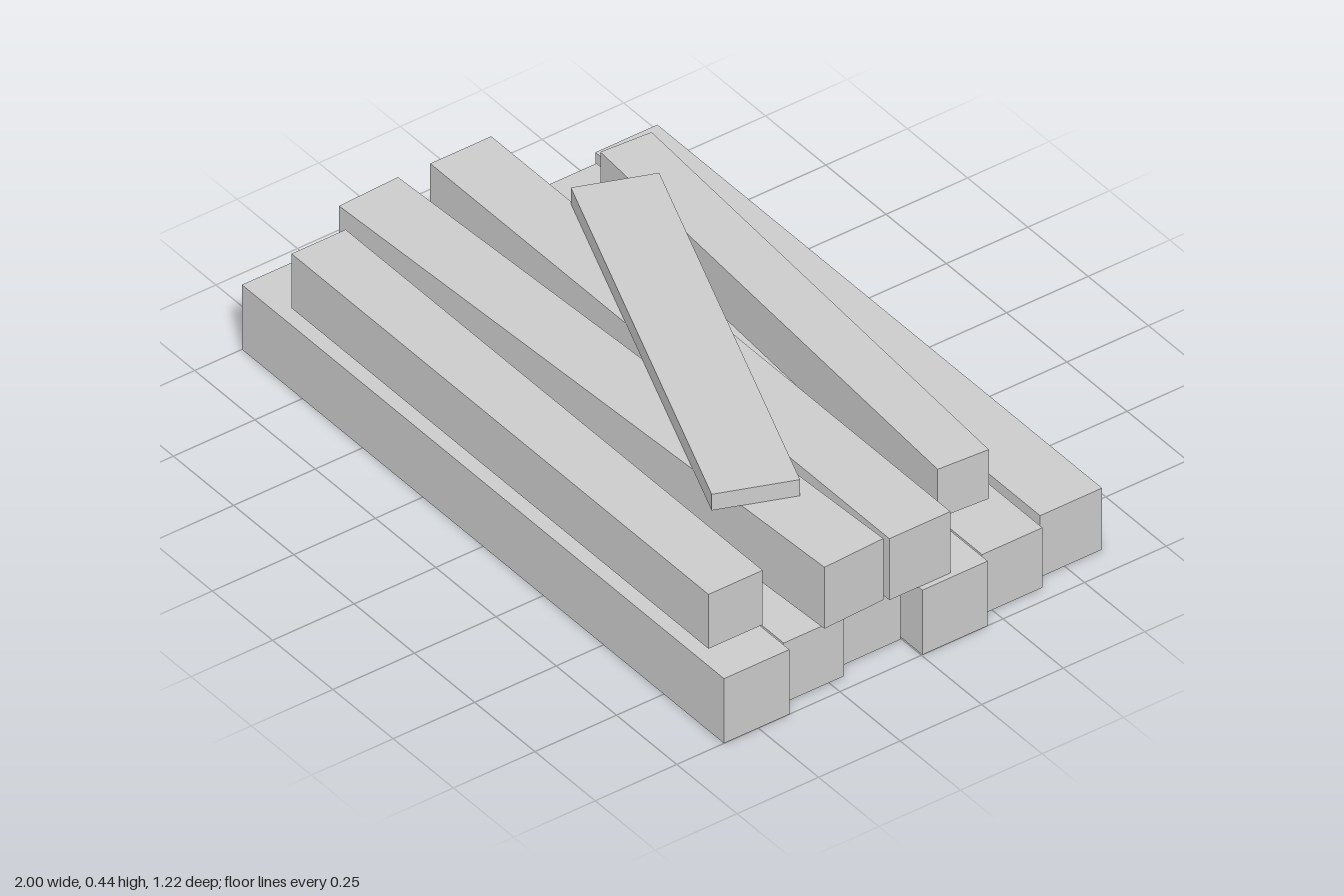
import * as THREE from 'three';

export function createModel() {
  const group = new THREE.Group();
  group.name = 'timberStack';
  const material = new THREE.MeshStandardMaterial({ color: 0xcccccc, flatShading: true });

  // One squared timber: size, centre (y is its underside) and turn about the vertical
  function timber(name, [length, height, width], [x, bottom, z], turn = 0) {
    const mesh = new THREE.Mesh(new THREE.BoxGeometry(length, height, width), material);
    mesh.name = name;
    mesh.position.set(x, bottom + height / 2, z);
    mesh.rotation.y = turn;
    group.add(mesh);
  }

  // Lower layer: the same three beams laid twice, front to back
  [0, -0.608].forEach((shift, i) => {
    const row = i === 0 ? 'front' : 'back';
    timber(`${row}LargeBeam`, [2, 0.2, 0.2], [0, 0, 0.505 + shift]);
    timber(`${row}SmallBeam`, [1.85, 0.185, 0.185], [0.035, 0.005, 0.3 + shift]);
    timber(`${row}MediumBeam`, [1.845, 0.19, 0.19], [0, 0.005, 0.102 + shift - 0.01 * i]);
  });

  // Upper layer: four beams, two of them slightly askew
  timber('upperFrontBeam', [1.73, 0.168, 0.166], [0.03, 0.215, 0.492]);
  timber('upperSkewedBeam', [1.9, 0.19, 0.187], [0.031, 0.201, 0.235], 0.045);
  timber('upperMiddleBeam', [1.905, 0.19, 0.187], [0.033, 0.201, -0.006]);
  timber('upperBackBeam', [1.54, 0.152, 0.15], [0.03, 0.206, -0.328], -0.066);

  // Flat board lying diagonally on top
  timber('topBoard', [1.3, 0.05, 0.226], [0.067, 0.392, 0.034], -0.366);

  return group;
}
